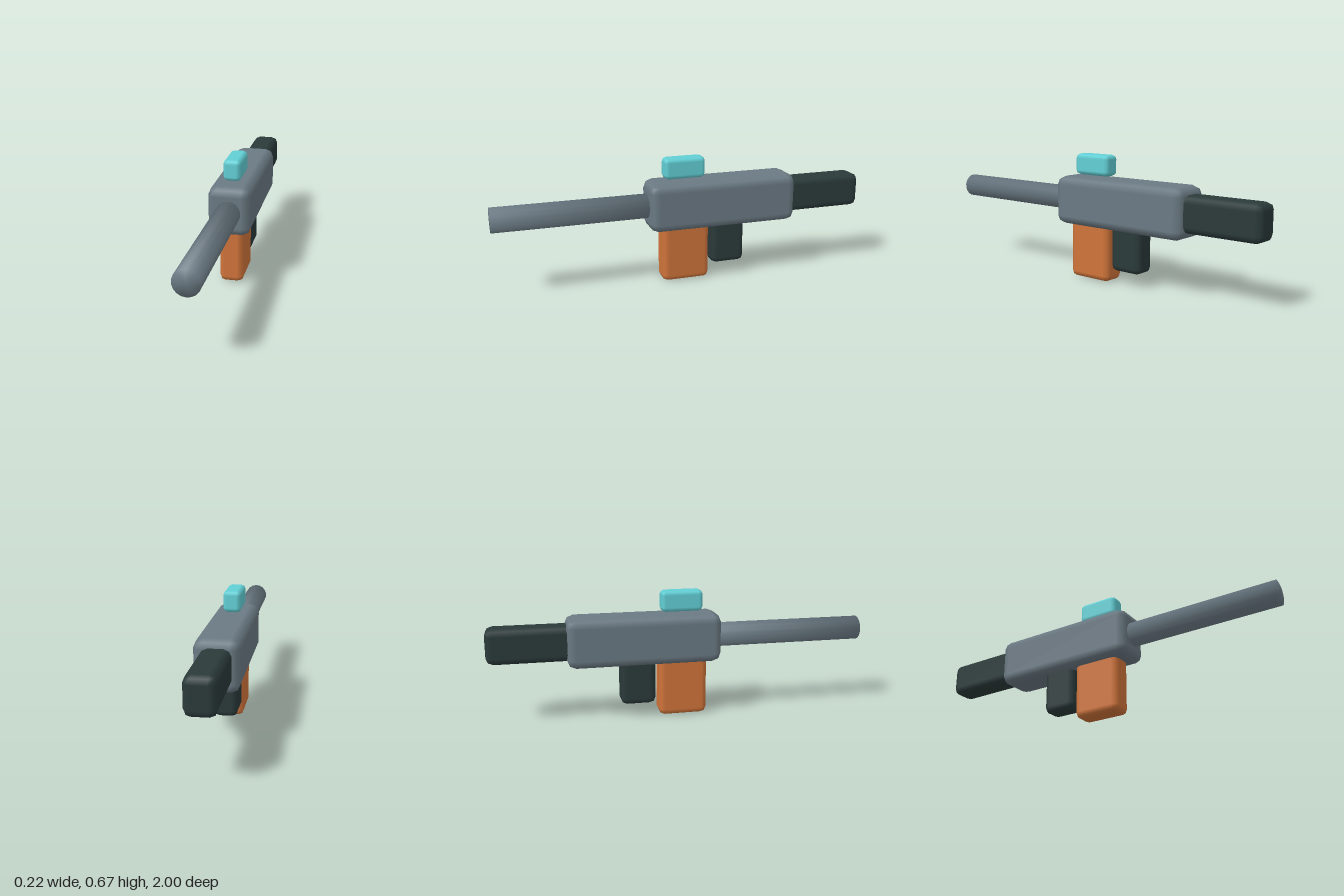
import * as THREE from 'three';
import { mergeVertices } from 'three/addons/utils/BufferGeometryUtils.js';
import { RoundedBoxGeometry } from 'three/addons/geometries/RoundedBoxGeometry.js';

const mat = (name, color) => {
  const m = new THREE.MeshStandardMaterial({ color });
  m.name = name;
  return m;
};

// Cylinder whose shading runs smoothly over the rims into the caps
function softCylinder(radius, length, sides) {
  let g = new THREE.CylinderGeometry(radius, radius, length, sides, 1);
  g.deleteAttribute('normal');
  g.deleteAttribute('uv');
  g = mergeVertices(g);
  const p = g.attributes.position;
  const normals = new Float32Array(p.count * 3);
  const n = new THREE.Vector3();
  for (let i = 0; i < p.count; i++) {
    n.set(p.getX(i) / radius, Math.sign(p.getY(i)), p.getZ(i) / radius).normalize();
    n.toArray(normals, i * 3);
  }
  g.setAttribute('normal', new THREE.BufferAttribute(normals, 3));
  return g;
}

export function createModel() {
  const group = new THREE.Group();
  const steel = mat('steel grey', 0x6b7a84);
  const dark = mat('dark green grey', 0x2b3a3a);
  const orange = mat('orange', 0xd0743a);
  const cyan = mat('cyan', 0x62d0d6);

  // Bevelled box given by its width and its y and z ranges
  const block = (name, material, width, [y0, y1], [z0, z1], radius) => {
    const mesh = new THREE.Mesh(new RoundedBoxGeometry(width, y1 - y0, z1 - z0, 1, radius), material);
    mesh.position.set(0, (y0 + y1) / 2, (z0 + z1) / 2);
    mesh.name = name;
    group.add(mesh);
  };

  block('receiver', steel, 0.22, [0.288, 0.545], [-0.6, 0.205], 0.046);
  block('stock', dark, 0.146, [0.325, 0.508], [-1, -0.55], 0.036);
  block('grip', dark, 0.12, [0.07, 0.34], [-0.325, -0.14], 0.032);
  block('magazine', orange, 0.128, [0, 0.34], [-0.123, 0.134], 0.032);
  block('sight', cyan, 0.092, [0.555, 0.665], [-0.105, 0.115], 0.023);

  // Barrel pointing forward
  const barrel = new THREE.Mesh(softCylinder(0.064, 0.82, 18), steel);
  barrel.rotation.x = Math.PI / 2;
  barrel.position.set(0, 0.417, 0.59);
  barrel.name = 'barrel';
  group.add(barrel);

  return group;
}
